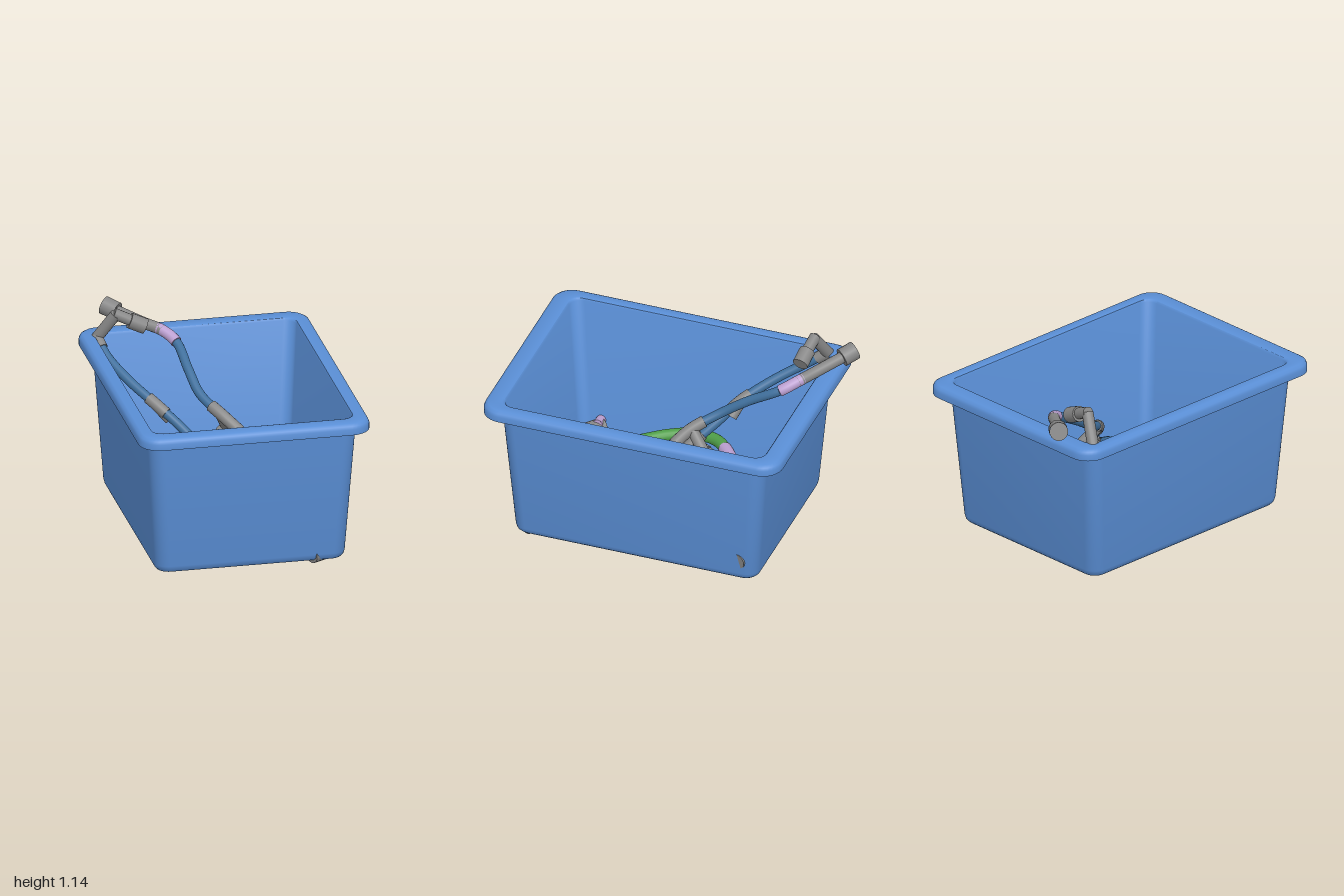
import * as THREE from 'three';
import { mergeGeometries, toCreasedNormals } from 'three/addons/utils/BufferGeometryUtils.js';

const mat = (name, color, side = THREE.FrontSide) => {
  const m = new THREE.MeshStandardMaterial({ color, side });
  m.name = name;
  return m;
};

const V = (p) => new THREE.Vector3(...p);

// Rounded rectangle loop, counter-clockwise seen from above
function loop([hw, hl, r, y], steps = 8) {
  const pts = [];
  for (let c = 0; c < 4; c++) {
    const sx = c === 0 || c === 3 ? 1 : -1, sz = c < 2 ? 1 : -1;
    for (let i = 0; i <= steps; i++) {
      const a = (c + i / steps) * Math.PI / 2;
      pts.push([sx * (hw - r) + r * Math.cos(a), y, sz * (hl - r) + r * Math.sin(a)]);
    }
  }
  return pts;
}

// Skin from loops, closed by a flat face at both ends
function skin(sections) {
  const rings = sections.map((s) => loop(s)), n = rings[0].length, pos = [], idx = [];
  rings.forEach((ring) => ring.forEach((p) => pos.push(...p)));
  for (let k = 0; k < rings.length - 1; k++) {
    for (let i = 0; i < n; i++) {
      const a = k * n + i, b = k * n + (i + 1) % n;
      idx.push(a, a + n, b, b, a + n, b + n);
    }
  }
  const last = (rings.length - 1) * n;
  for (let i = 1; i < n - 1; i++) {
    idx.push(0, i, i + 1, last, last + i + 1, last + i);
  }
  const g = new THREE.BufferGeometry();
  g.setAttribute('position', new THREE.Float32BufferAttribute(pos, 3));
  g.setIndex(idx);
  return toCreasedNormals(g, 0.7);
}

// Capped tube along a curve
function cappedTube(curve, r, segs) {
  const parts = [new THREE.TubeGeometry(curve, segs, r, 16, false)];
  for (const [t, dir] of [[0, -1], [1, 1]]) {
    const cap = new THREE.CircleGeometry(r, 16);
    const q = new THREE.Quaternion().setFromUnitVectors(new THREE.Vector3(0, 0, 1), curve.getTangent(t).multiplyScalar(dir));
    cap.applyQuaternion(q);
    const p = curve.getPoint(t);
    cap.translate(p.x, p.y, p.z);
    parts.push(cap);
  }
  return mergeGeometries(parts);
}

export function createModel() {
  const root = new THREE.Group();
  root.name = 'binOfHoses';

  const binBlue = mat('binBlue', 0x5a8fd6, THREE.DoubleSide);
  const blue = mat('hoseBlue', 0x3f6f9c);
  const green = mat('hoseGreen', 0x4f9e48);
  const orange = mat('hoseOrange', 0xe87d1e);
  const gray = mat('fittingGray', 0x868686);
  const lilac = mat('sleeveLilac', 0xbb9fd0);
  const tan = mat('sleeveTan', 0xe6b587);

  // Tapered bin: underside, outer wall, skirted lip, inner wall, floor
  const bin = new THREE.Mesh(skin([
    [0.53, 0.718, 0.05, 0.06], [0.55, 0.738, 0.07, 0.066], [0.563, 0.751, 0.08, 0.08], [0.569, 0.757, 0.08, 0.105],
    [0.622, 0.822, 0.085, 0.92],
    [0.67, 0.907, 0.11, 0.92], [0.672, 0.91, 0.11, 0.905], [0.688, 0.926, 0.125, 0.905],
    [0.688, 0.926, 0.125, 0.94], [0.681, 0.919, 0.118, 0.958], [0.663, 0.901, 0.1, 0.97],
    [0.61, 0.825, 0.075, 0.97], [0.602, 0.814, 0.07, 0.967], [0.597, 0.806, 0.07, 0.955],
    [0.547, 0.738, 0.065, 0.13], [0.538, 0.729, 0.06, 0.1], [0.515, 0.706, 0.05, 0.085],
  ]), binBlue);
  bin.name = 'bin';
  bin.position.z = 0.033;
  bin.rotation.y = -0.047;
  root.add(bin);

  // Hose through points; pieces are [fromPoint, toPoint, material, radius]
  function hose(name, points, pieces) {
    const group = new THREE.Group();
    group.name = name;
    const path = new THREE.CatmullRomCurve3(points.map(V)), end = points.length - 1;
    for (const [from, to, material, r] of pieces) {
      const n = Math.max(4, Math.ceil((to - from) * 6)), pts = [];
      for (let i = 0; i <= n; i++) pts.push(path.getPoint((from + (to - from) * i / n) / end));
      const mesh = new THREE.Mesh(cappedTube(new THREE.CatmullRomCurve3(pts), r, n * 2), material);
      mesh.name = material.name;
      group.add(mesh);
    }
    root.add(group);
  }

  // Straight fitting between two points
  function rod(name, a, b, r, material = gray) {
    const mesh = new THREE.Mesh(cappedTube(new THREE.LineCurve3(V(a), V(b)), r, 1), material);
    mesh.name = name;
    root.add(mesh);
  }

  // Blue hose leaning in the back corner
  hose('blueHoseCorner', [
    [-0.55, 0.96, -0.78], [-0.52, 0.88, -0.66], [-0.43, 0.78, -0.48], [-0.31, 0.68, -0.32], [-0.2, 0.58, -0.21],
    [-0.1, 0.47, -0.09], [0, 0.34, 0.04], [0.06, 0.25, 0.2], [0.13, 0.16, 0.42], [0.25, 0.11, 0.56], [0.36, 0.1, 0.64],
  ], [[0, 0.6, gray, 0.034], [0.6, 9, blue, 0.028], [2.7, 3.4, gray, 0.035], [4.6, 5.5, gray, 0.036], [8.8, 10, gray, 0.038]]);
  rod('elbowStem', [-0.55, 0.95, -0.78], [-0.45, 1.11, -0.72], 0.034);
  rod('elbowArm', [-0.46, 1.115, -0.725], [-0.34, 1.06, -0.7], 0.034);
  rod('elbowHead', [-0.37, 1.07, -0.705], [-0.28, 1.03, -0.69], 0.047);
  rod('cornerBranch', [-0.31, 0.68, -0.32], [-0.24, 0.6, -0.28], 0.035);
  rod('midBranch', [-0.1, 0.47, -0.1], [-0.04, 0.44, -0.24], 0.033);
  rod('midBranchHead', [-0.08, 0.46, -0.12], [-0.05, 0.45, -0.19], 0.045);
  rod('cornerEndHead', [0.36, 0.1, 0.64], [0.5, 0.1, 0.74], 0.05);

  // Blue hose resting over the back rim
  hose('blueHoseRim', [
    [-0.4, 1.055, -0.92], [-0.26, 1.01, -0.79], [-0.17, 0.985, -0.71], [-0.11, 0.94, -0.62], [-0.09, 0.84, -0.43],
    [-0.06, 0.74, -0.27], [0.04, 0.65, -0.11], [0.17, 0.53, 0.01], [0.31, 0.4, 0.13], [0.42, 0.28, 0.3],
    [0.51, 0.18, 0.52], [0.48, 0.11, 0.68], [0.36, 0.1, 0.76],
  ], [[0, 2, gray, 0.034], [1.7, 3, lilac, 0.034], [3, 11.2, blue, 0.028], [5.5, 6.6, gray, 0.036], [7.6, 8.5, gray, 0.036],
    [11.1, 12, gray, 0.036]]);
  rod('rimHead', [-0.455, 1.075, -0.97], [-0.39, 1.05, -0.91], 0.055);
  rod('sideBranch', [0.03, 0.65, -0.13], [0.1, 0.52, -0.24], 0.035);
  rod('sideBranchHead', [0.06, 0.52, -0.18], [0.11, 0.48, -0.31], 0.055);
  rod('lowBranch', [0.3, 0.41, 0.13], [0.33, 0.42, 0.1], 0.05);
  rod('rimEndHead', [0.41, 0.09, 0.73], [0.33, 0.09, 0.77], 0.048);

  // Green hose crossing above the others
  hose('greenHose', [
    [0.45, 0.26, -0.64], [0.34, 0.28, -0.56], [0.2, 0.3, -0.48], [0.06, 0.3, -0.43], [-0.1, 0.3, -0.35], [-0.3, 0.3, -0.24],
    [-0.42, 0.29, -0.13], [-0.455, 0.28, 0.01], [-0.41, 0.27, 0.16], [-0.33, 0.25, 0.32], [-0.31, 0.22, 0.45], [-0.38, 0.18, 0.56], [-0.47, 0.15, 0.63],
  ], [[0, 1, gray, 0.04], [1, 11.2, green, 0.036], [3.9, 5.3, lilac, 0.04], [11, 12, gray, 0.04]]);
  rod('greenHead', [0.45, 0.26, -0.66], [0.43, 0.22, -0.58], 0.05);
  rod('greenEndHead', [-0.55, 0.15, 0.6], [-0.45, 0.15, 0.69], 0.055);
  rod('greenEndClip', [-0.57, 0.18, 0.62], [-0.5, 0.19, 0.62], 0.03, lilac);

  // Orange hose along the side
  hose('orangeHoseSide', [
    [-0.25, 0.16, -0.57], [-0.37, 0.15, -0.42], [-0.42, 0.14, -0.32], [-0.43, 0.14, -0.2], [-0.435, 0.14, 0], [-0.435, 0.14, 0.2],
    [-0.42, 0.14, 0.33], [-0.34, 0.15, 0.41], [-0.2, 0.17, 0.43], [-0.05, 0.2, 0.43], [0.1, 0.23, 0.45], [0.2, 0.25, 0.56], [0.24, 0.25, 0.68],
  ], [[0, 1.2, gray, 0.038], [1.2, 11.5, orange, 0.033], [1.6, 2.8, tan, 0.035], [4.6, 5.3, tan, 0.035], [6.5, 8.2, tan, 0.035],
    [8, 9, lilac, 0.038], [11.3, 12, gray, 0.04]]);
  rod('sideHead', [-0.24, 0.16, -0.58], [-0.32, 0.15, -0.48], 0.052);
  rod('wristSleeve', [-0.41, 0.16, -0.35], [-0.29, 0.16, -0.34], 0.035, lilac);
  rod('lilacBranch', [-0.41, 0.14, 0.205], [-0.56, 0.14, 0.205], 0.035, lilac);
  rod('sideEndHead', [0.16, 0.24, 0.76], [0.33, 0.18, 0.745], 0.048);
  rod('sideEndCap', [0.27, 0.2, 0.68], [0.27, 0.09, 0.73], 0.045);

  // Orange hose across the back
  hose('orangeHoseBack', [
    [0.54, 0.2, -0.62], [0.5, 0.18, -0.49], [0.44, 0.16, -0.39], [0.32, 0.15, -0.335], [0.2, 0.15, -0.34], [0.02, 0.15, -0.375],
    [-0.12, 0.15, -0.39], [-0.22, 0.15, -0.35], [-0.265, 0.15, -0.22], [-0.27, 0.14, -0.08], [-0.31, 0.14, 0.15], [-0.32, 0.14, 0.3],
    [-0.28, 0.13, 0.45], [-0.21, 0.13, 0.62],
  ], [[0, 1.4, gray, 0.038], [1.2, 12, orange, 0.033], [3.8, 4.4, tan, 0.036], [4.2, 5.2, lilac, 0.038], [5.2, 6.6, tan, 0.035],
    [7.9, 8.7, lilac, 0.037], [11.3, 12.1, tan, 0.035], [12, 13, gray, 0.042]]);
  rod('backHead', [0.45, 0.21, -0.63], [0.6, 0.19, -0.58], 0.052);
  rod('crossSleeve', [-0.36, 0.16, -0.19], [-0.24, 0.16, -0.17], 0.034, lilac);
  rod('floorStub', [-0.31, 0.16, 0.4], [-0.215, 0.03, 0.365], 0.036, lilac);
  rod('floorStubTop', [-0.25, 0.18, 0.37], [-0.18, 0.18, 0.355], 0.036, lilac);
  rod('backEndHead', [-0.34, 0.14, 0.7], [-0.19, 0.14, 0.63], 0.052);

  return root;
}
